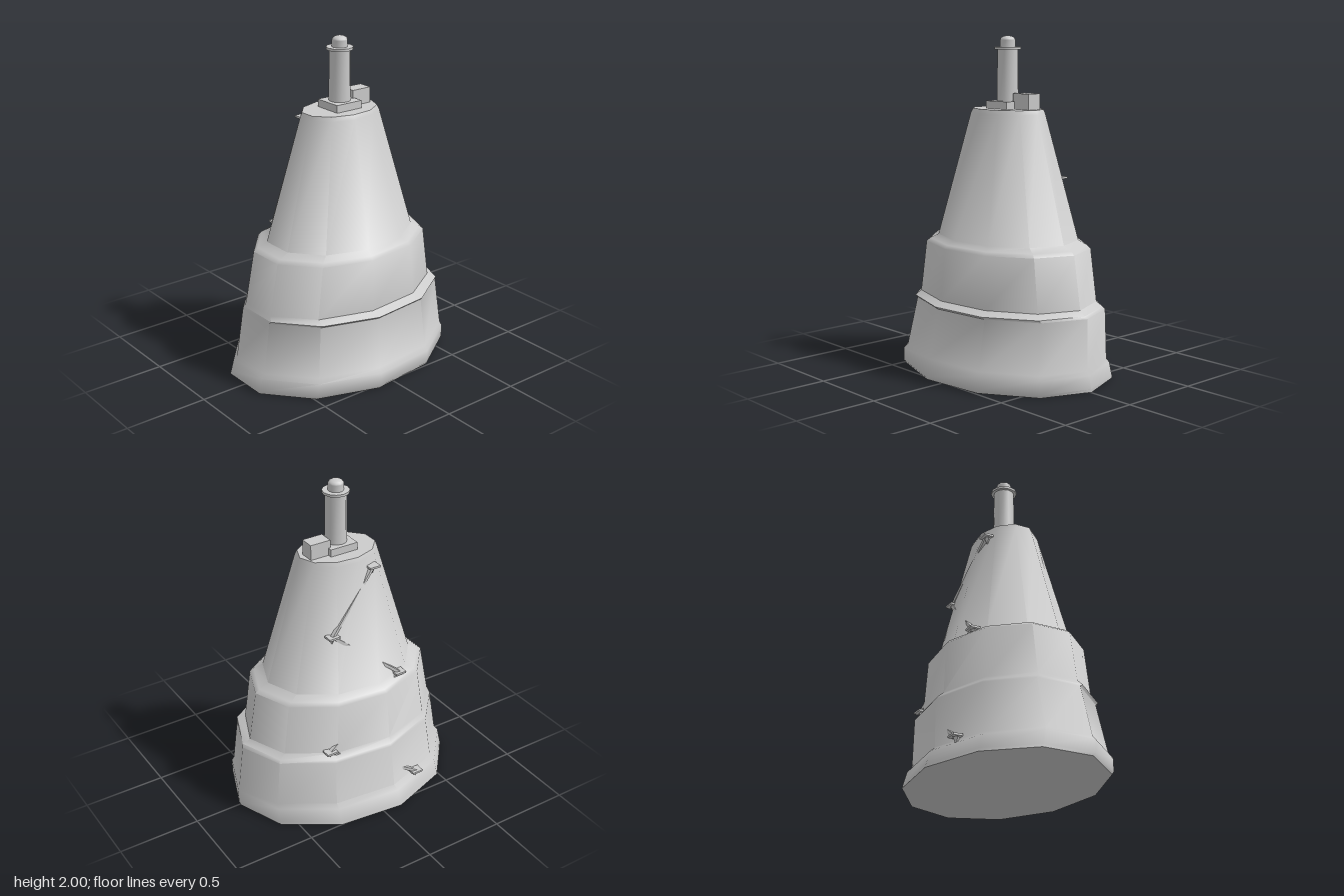
import * as THREE from 'three';
import { toCreasedNormals } from 'three/addons/utils/BufferGeometryUtils.js';

const material = new THREE.MeshStandardMaterial({ color: 0xcccccc });

function add(parent, name, geometry, x = 0, y = 0, z = 0) {
  const mesh = new THREE.Mesh(geometry, material);
  mesh.name = name;
  mesh.position.set(x, y, z);
  parent.add(mesh);
  return mesh;
}

// Closed solid from eleven-sided oval rings: [y, xMin, xMax, zBack, zFront]
function stackedRings(rings, sides = 11) {
  const positions = [], indices = [];
  const low = Math.cos(Math.PI / sides);
  const zMax = Math.sin(2 * Math.PI * 3 / sides);
  for (const [y, x0, x1, z0, z1] of rings) {
    for (let i = 0; i < sides; i++) {
      const a = (2 * Math.PI * i) / sides;
      const u = (Math.cos(a) + low) / (1 + low);
      const v = (Math.sin(a) / zMax + 1) / 2;
      positions.push(x0 + (x1 - x0) * u, y, z0 + (z1 - z0) * v);
    }
  }
  for (let r = 0; r < rings.length - 1; r++) {
    for (let i = 0; i < sides; i++) {
      const j = (i + 1) % sides;
      const a = r * sides + i, b = r * sides + j;
      indices.push(a, a + sides, b, b, a + sides, b + sides);
    }
  }
  // Flat bottom and plateau
  const top = (rings.length - 1) * sides;
  for (let i = 1; i < sides - 1; i++) {
    indices.push(0, i, i + 1, top, top + i + 1, top + i);
  }
  const geometry = new THREE.BufferGeometry();
  geometry.setAttribute('position', new THREE.Float32BufferAttribute(positions, 3));
  geometry.setIndex(indices);
  return toCreasedNormals(geometry, 0.9);
}

export function createModel() {
  const model = new THREE.Group();
  model.name = 'lighthouseRock';

  // Terraced rock with a foot, two ledges and a plateau
  add(model, 'rock', stackedRings([
    [0.00, -0.71, 0.705, -0.545, 0.53],
    [0.02, -0.71, 0.71, -0.54, 0.545],
    [0.10, -0.70, 0.705, -0.515, 0.545],
    [0.125, -0.68, 0.695, -0.485, 0.52],
    [0.42, -0.62, 0.67, -0.475, 0.47],
    [0.435, -0.618, 0.66, -0.465, 0.488],
    [0.46, -0.605, 0.615, -0.435, 0.435],
    [0.77, -0.545, 0.565, -0.418, 0.42],
    [0.79, -0.52, 0.54, -0.40, 0.40],
    [0.815, -0.46, 0.48, -0.36, 0.36],
    [1.55, -0.242, 0.26, -0.186, 0.186],
    [1.575, -0.232, 0.248, -0.175, 0.172],
  ]));

  // Zigzag stairs on the back, partly sunk into the rock
  const stairs = new THREE.Group();
  stairs.name = 'zigzagStairs';
  model.add(stairs);
  const landings = [
    [-0.125, 1.50, -0.188], [0.19, 1.16, -0.252], [-0.23, 0.82, -0.325],
    [0.295, 0.48, -0.392], [-0.29, 0.14, -0.452],
  ].map((p) => new THREE.Vector3(...p));
  landings.forEach((p, i) => {
    add(stairs, 'landing', new THREE.BoxGeometry(0.07, 0.012, 0.058), p.x, p.y, p.z);
    // Tapered bracket below the landing
    const bracket = new THREE.CylinderGeometry(0.022, 0.004, 0.04, 4, 1).toNonIndexed();
    bracket.computeVertexNormals();
    add(stairs, 'landingBracket', bracket, p.x, p.y - 0.024, p.z + 0.005);
    if (i === 0) return;
    const start = landings[i - 1];
    const flight = add(stairs, 'stairFlight',
      new THREE.BoxGeometry(0.022, 0.018, start.distanceTo(p)));
    flight.position.copy(start).lerp(p, 0.5);
    flight.lookAt(p);
  });

  // Lighthouse on its plinth
  const lighthouse = new THREE.Group();
  lighthouse.name = 'lighthouse';
  lighthouse.position.x = 0.005;
  model.add(lighthouse);
  add(lighthouse, 'plinth', new THREE.BoxGeometry(0.18, 0.06, 0.18), 0, 1.59, 0);
  const drum = (r0, r1, h) => toCreasedNormals(new THREE.CylinderGeometry(r0, r1, h, 12), 0.7);
  add(lighthouse, 'tower', drum(0.062, 0.065, 0.31), 0, 1.77, 0);
  add(lighthouse, 'gallery', drum(0.08, 0.08, 0.015), 0, 1.928, 0);
  add(lighthouse, 'lantern', drum(0.046, 0.046, 0.04), 0, 1.955, 0);
  const dome = new THREE.SphereGeometry(0.046, 12, 5, 0, Math.PI * 2, 0, Math.PI / 2);
  dome.scale(1, 0.55, 1);
  add(lighthouse, 'dome', dome, 0, 1.975, 0);

  // Keeper's hut
  add(model, 'hut', new THREE.BoxGeometry(0.13, 0.105, 0.09), 0.147, 1.615, -0.018);

  return model;
}
